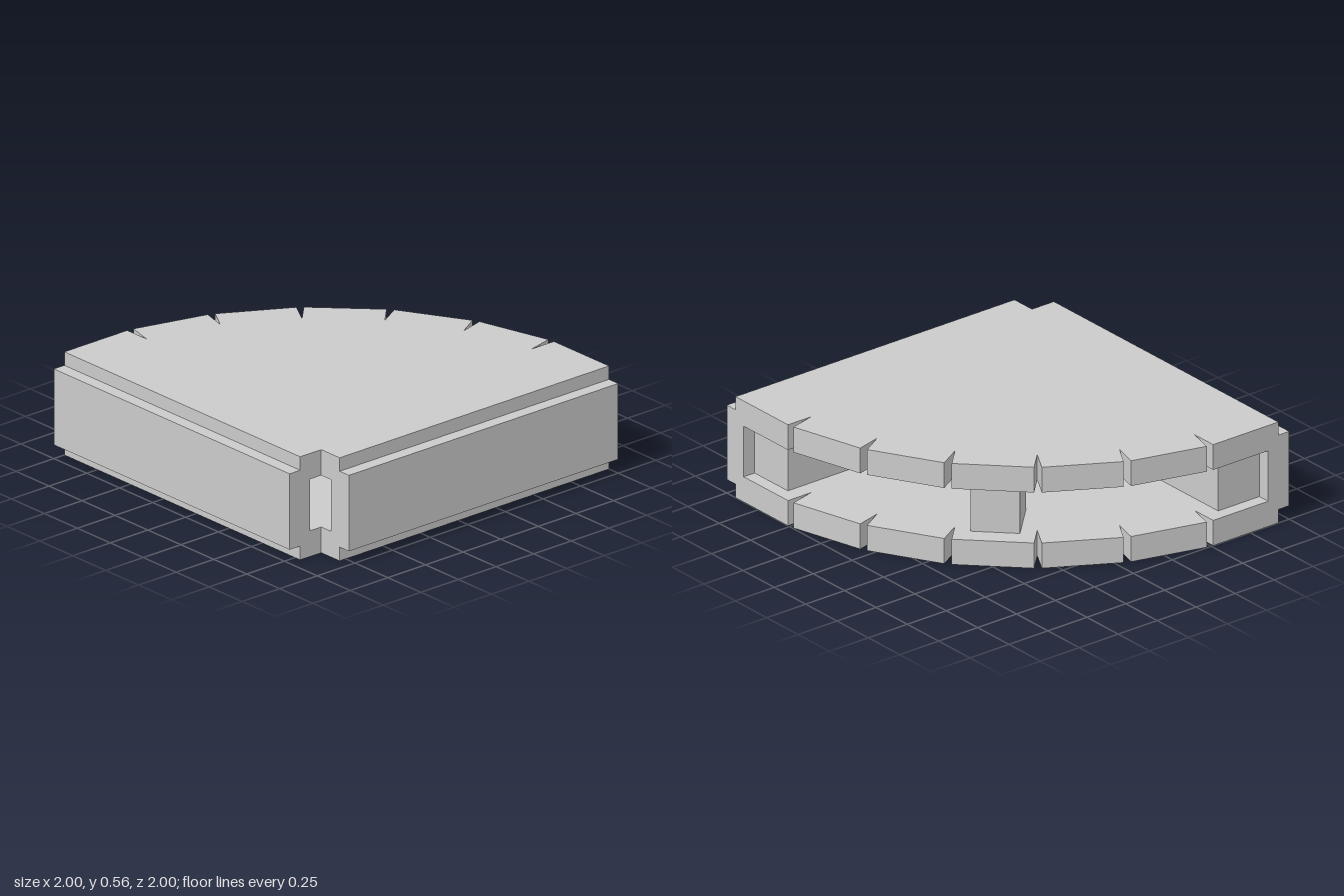
import * as THREE from 'three';

const HEIGHT = 0.56, PLATE = 0.14;
const material = new THREE.MeshStandardMaterial({ color: 0xcccccc, flatShading: true });

export function createModel() {
  const model = new THREE.Group();

  const add = (name, geometry) => {
    const mesh = new THREE.Mesh(geometry, material);
    mesh.name = name;
    model.add(mesh);
    return mesh;
  };

  // Upright slab from an [x, z] outline between two heights
  const slab = (name, outline, y0, y1) => {
    const shape = new THREE.Shape(outline.map(([x, z]) => new THREE.Vector2(x, -z)));
    const geometry = new THREE.ExtrudeGeometry(shape, { depth: y1 - y0, bevelEnabled: false });
    geometry.rotateX(-Math.PI / 2);
    geometry.translate(0, y0, 0);
    return add(name, geometry);
  };
  const block = (name, x0, x1, z0, z1, y0, y1) =>
    slab(name, [[x0, z0], [x1, z0], [x1, z1], [x0, z1]], y0, y1);

  // Faceted fan with wedge slots; half of it, mirrored across the diagonal
  const half = [
    [0.79, 0.79], [0.93, 0.79], [0.93, -1],
    [0.512, -1], [0.512, -0.85], [0.475, -0.995],
    [0.075, -0.888], [0.112, -0.75], [0.04, -0.872],
    [-0.32, -0.667], [-0.247, -0.54], [-0.35, -0.643],
  ];
  const fan = [...half, ...half.slice(1).reverse().map(([x, z]) => [z, x])];
  slab('bottomPlate', fan, 0, PLATE);
  slab('topPlate', fan, HEIGHT - PLATE, HEIGHT);

  // Straight sides: outer wall, inner wall and spacer bar, once per side
  for (const front of [false, true]) {
    const side = (name, x0, x1, z0, z1, y0, y1) => front
      ? block('front' + name, z0, z1, x0, x1, y0, y1)
      : block('left' + name, x0, x1, z0, z1, y0, y1);
    side('OuterWall', 0.927, 1, -1, 0.79, 0.075, 0.487);
    side('InnerWall', 0.865, 0.93, -1, 0.79, PLATE, HEIGHT - PLATE);
    side('SpacerBar', 0.6, 0.866, -0.93, -0.43, PLATE, HEIGHT - PLATE);
  }

  // Spacer post on the diagonal
  const post = add('middlePost', new THREE.BoxGeometry(0.25, HEIGHT - 2 * PLATE, 0.28));
  post.position.set(-0.325, HEIGHT / 2, -0.325);
  post.rotation.y = Math.PI / 4;

  return model;
}
